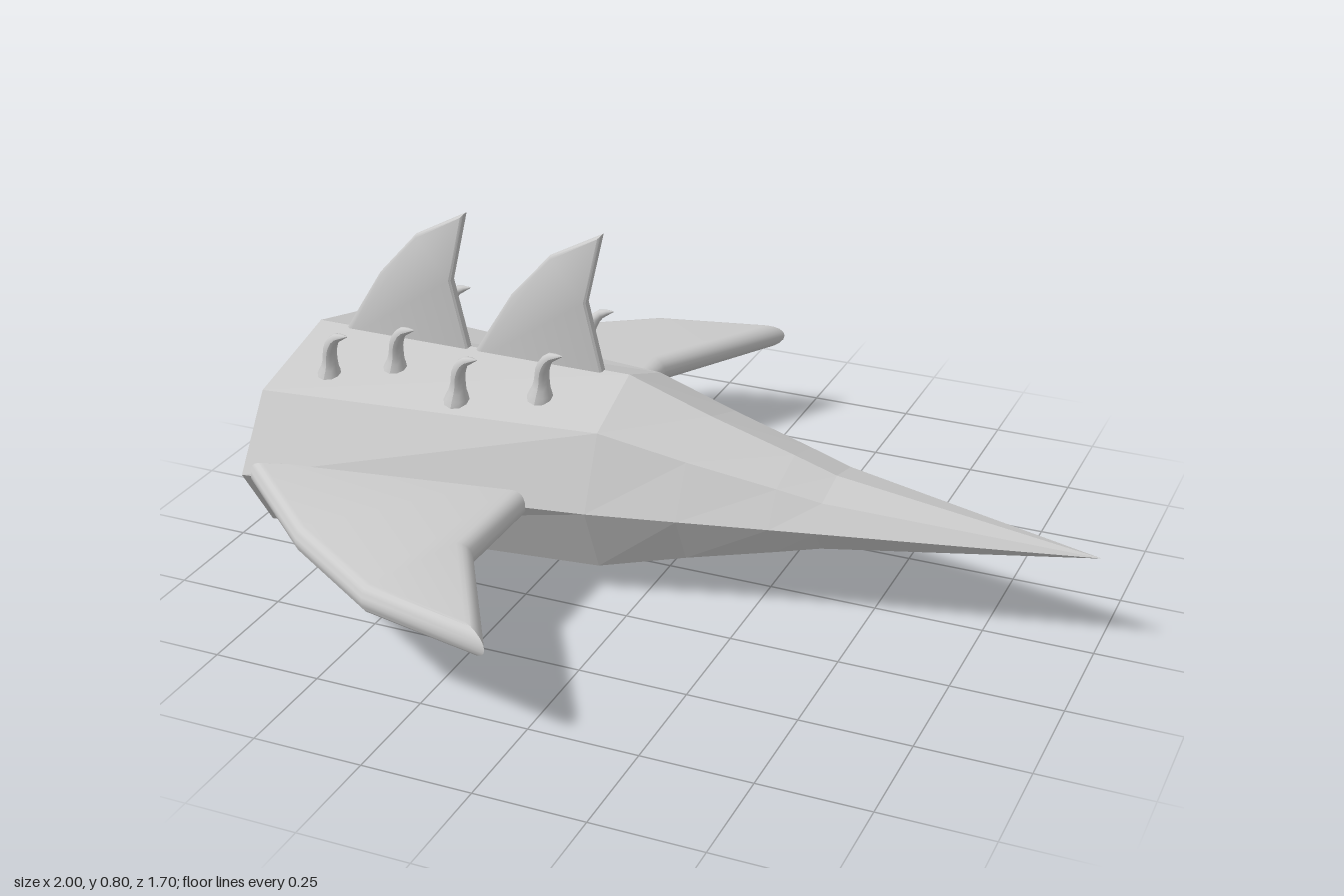
import * as THREE from 'three';
import { toCreasedNormals } from 'three/addons/utils/BufferGeometryUtils.js';

const MID = 0.235; // height of the hull axis
const smooth = new THREE.MeshStandardMaterial({ color: 0xcccccc });
const faceted = new THREE.MeshStandardMaterial({ color: 0xcccccc, flatShading: true });

// Skin a list of equal-length rings; caps is an optional triangle list for the two ends
function loft(rings, caps = []) {
  const n = rings[0].length, last = (rings.length - 1) * n, index = [];
  for (let i = 0; i < rings.length - 1; i++) {
    for (let j = 0; j < n; j++) {
      const a = i * n + j, b = i * n + (j + 1) % n;
      index.push(a, b, a + n, b, b + n, a + n);
    }
  }
  for (const [a, b, c] of caps) index.push(a, c, b, last + a, last + b, last + c);
  const geo = new THREE.BufferGeometry();
  geo.setAttribute('position', new THREE.Float32BufferAttribute(rings.flat(2), 3));
  geo.setIndex(index);
  return geo;
}

// Flat plate with a rounded rim running from the inner outline to the outer one
function plate(outer, inner, half, steps) {
  const rings = [];
  for (let i = 0; i <= steps; i++) {
    const a = -Math.PI / 2 + Math.PI * i / steps, t = 1 - Math.cos(a);
    rings.push(outer.map(([x, y], k) => [
      THREE.MathUtils.lerp(x, inner[k][0], t),
      THREE.MathUtils.lerp(y, inner[k][1], t),
      half * Math.sin(a),
    ]));
  }
  const caps = THREE.ShapeUtils.triangulateShape(inner.map(p => new THREE.Vector2(...p)), []);
  return toCreasedNormals(loft(rings, caps), 0.62);
}

// Curved horn: a tube whose rings shrink from a flared root to a tip
function hornGeometry() {
  const path = new THREE.CatmullRomCurve3([
    [-0.005, -0.015, 0], [0.002, 0.03, 0.005], [0.01, 0.07, 0.014], [0.03, 0.1, 0.022], [0.065, 0.112, 0.028],
  ].map(p => new THREE.Vector3(...p)));
  const radii = [0.032, 0.027, 0.021, 0.018, 0.017, 0.016, 0.015, 0.013, 0.011, 0.007, 0.001];
  const segs = radii.length - 1, sides = 10;
  const geo = new THREE.TubeGeometry(path, segs, 1, sides);
  const pos = geo.attributes.position, v = new THREE.Vector3();
  for (let i = 0; i < pos.count; i++) {
    const ring = Math.floor(i / (sides + 1)), c = path.getPointAt(ring / segs);
    v.fromBufferAttribute(pos, i).sub(c).multiplyScalar(radii[ring]).add(c);
    pos.setXYZ(i, v.x, v.y, v.z);
  }
  geo.computeVertexNormals();
  return geo;
}

export function createModel() {
  const model = new THREE.Group();
  model.name = 'finnedCraft';
  const add = (name, geo, mat = smooth) => {
    const mesh = new THREE.Mesh(geo, mat);
    mesh.name = name;
    model.add(mesh);
    return mesh;
  };

  // Eight-sided hull: [x, half width, half height]
  const stations = [
    [-1, 0, 0], [-0.9, 0.38, 0.235], [-0.1, 0.25, 0.235], [0.1, 0.205, 0.168],
    [0.3, 0.159, 0.11], [0.4, 0.136, 0.079], [1, 0, 0],
  ];
  const hull = loft(stations.map(([x, w, h]) => Array.from({ length: 8 }, (_, j) => {
    const a = j * Math.PI / 4;
    return [x, MID + h * Math.cos(a), w * Math.sin(a)];
  })));
  hull.computeVertexNormals();
  add('hull', hull, faceted);

  // Swept side wings, outlines counter-clockwise
  const wingOuter = [[-0.235, 0.18], [-0.235, 0.52], [-0.04, 0.85], [-0.36, 0.78], [-0.62, 0.61], [-0.89, 0.365]];
  const wingInner = [[-0.27, 0.18], [-0.27, 0.53], [-0.1, 0.815], [-0.35, 0.755], [-0.605, 0.59], [-0.85, 0.365]];
  for (const side of [1, -1]) {
    const wing = add(side > 0 ? 'frontWing' : 'backWing', plate(wingOuter, wingInner, 0.033, 10));
    wing.rotation.x = side * Math.PI / 2;
    wing.position.y = MID;
  }

  // Two thin dorsal fins
  const finOuter = [[-0.835, 0.44], [-0.5, 0.44], [-0.5, 0.46], [-0.54, 0.63], [-0.5, 0.8], [-0.63, 0.73], [-0.73, 0.62], [-0.83, 0.46]];
  const finInner = [[-0.825, 0.44], [-0.507, 0.44], [-0.507, 0.46], [-0.547, 0.63], [-0.51, 0.789], [-0.626, 0.723], [-0.724, 0.615], [-0.82, 0.46]];
  const finGeo = plate(finOuter, finInner, 0.012, 4);
  ['rearFin', 'foreFin'].forEach((name, i) => {
    add(name, finGeo).position.x = i * 0.34;
  });

  // Horns in two staggered rows on each side of the back
  const horn = hornGeometry();
  const hornMirrored = horn.clone().scale(1, 1, -1);
  const flip = hornMirrored.index.array;
  for (let i = 0; i < flip.length; i += 3) [flip[i], flip[i + 1]] = [flip[i + 1], flip[i]];
  hornMirrored.computeVertexNormals();
  for (const [x, z] of [[-0.775, 0.17], [-0.635, 0.11], [-0.445, 0.17], [-0.265, 0.11]]) {
    for (const side of [1, -1]) {
      const y = 0.47 - 0.26 * z;
      add('horn', side > 0 ? horn : hornMirrored).position.set(x, y, side * z);
    }
  }
  return model;
}
